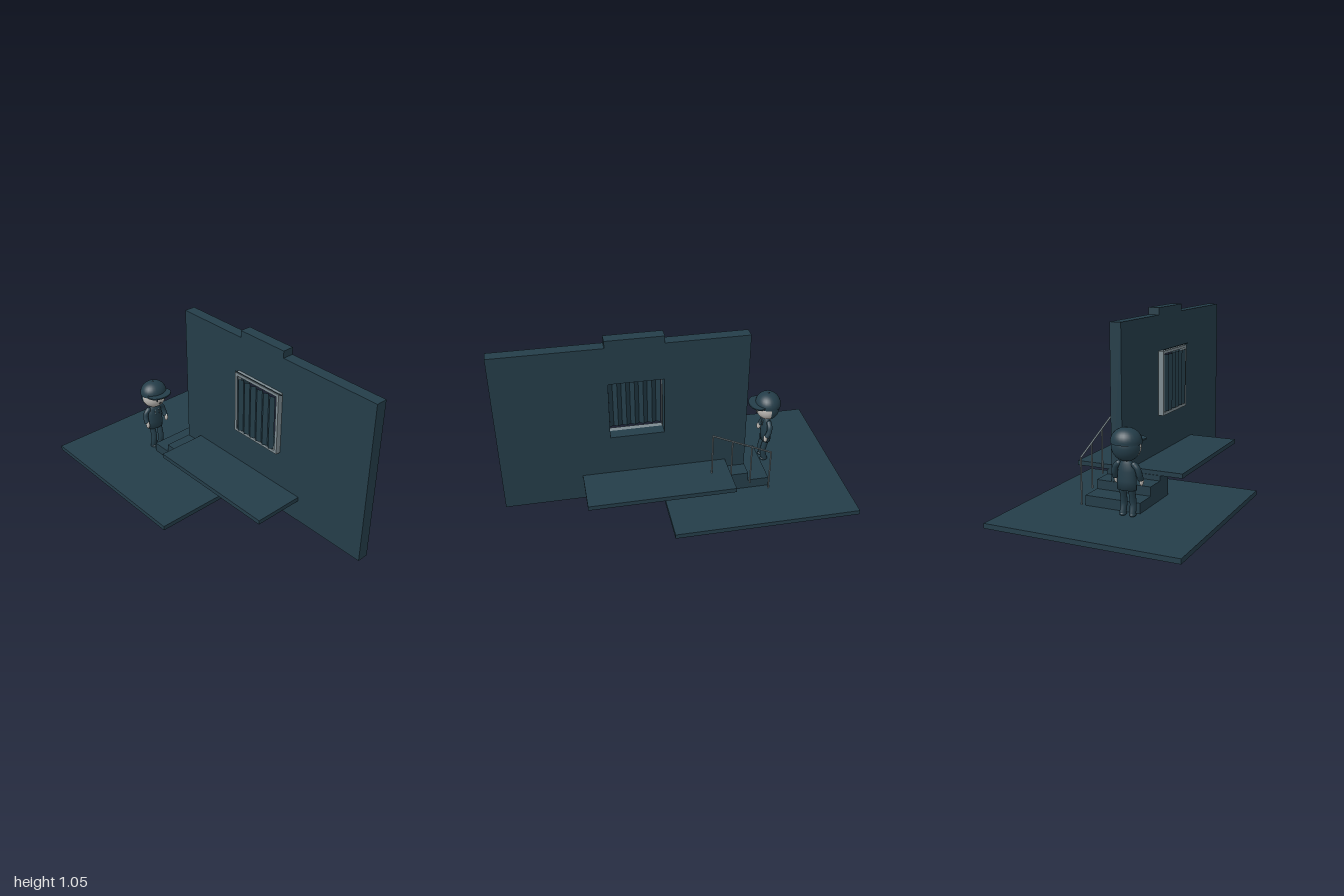
import * as THREE from 'three';

const mat = (name, color, side = THREE.FrontSide) => {
  const m = new THREE.MeshStandardMaterial({ color, side });
  m.name = name;
  return m;
};

export function createModel() {
  const root = new THREE.Group();
  const slate = mat('slate', 0x243d49);
  const slateCloth = mat('slate cloth', 0x243d49, THREE.DoubleSide);
  const metal = mat('grey metal', 0x7c8a90);
  const skin = mat('pale grey', 0xbdbab5);
  const ink = mat('ink', 0x14232b);

  const add = (parent, name, geo, material, x = 0, y = 0, z = 0) => {
    const m = new THREE.Mesh(geo, material);
    m.name = name;
    m.position.set(x, y, z);
    parent.add(m);
    return m;
  };
  // box given by its limits
  const block = (parent, name, material, x0, x1, y0, y1, z0, z1) =>
    add(parent, name, new THREE.BoxGeometry(x1 - x0, y1 - y0, z1 - z0), material,
      (x0 + x1) / 2, (y0 + y1) / 2, (z0 + z1) / 2);
  const outline = (pts) => new THREE.Shape(pts.map(([x, y]) => new THREE.Vector2(x, y)));
  const rect = (x0, x1, y0, y1) => [[x0, y0], [x1, y0], [x1, y1], [x0, y1]];
  const slab = (parent, name, shape, material, z0, z1) =>
    add(parent, name, new THREE.ExtrudeGeometry(shape, { depth: z1 - z0, bevelEnabled: false }), material, 0, 0, z0);
  const ball = (parent, name, material, x, y, z, rx, ry, rz) => {
    const m = add(parent, name, new THREE.SphereGeometry(1, 24, 16), material, x, y, z);
    m.scale.set(rx, ry, rz);
    return m;
  };
  const V = (x, y, z) => new THREE.Vector3(x, y, z);
  const rod = (parent, name, material, a, b, r) => {
    const m = add(parent, name, new THREE.CylinderGeometry(r, r, a.distanceTo(b), 10), material);
    m.position.copy(a).add(b).multiplyScalar(0.5);
    m.quaternion.setFromUnitVectors(V(0, 1, 0), b.clone().sub(a).normalize());
    return m;
  };

  // ground and raised deck
  block(root, 'ground', slate, -1, 0.083, 0, 0.027, -0.545, 0.54);
  block(root, 'deck', slate, -0.296, 0.545, 0.165, 0.191, -0.41, 0.243);

  // three steps leading up to the deck
  slab(root, 'steps', outline([[-0.545, 0.027], [-0.19, 0.027], [-0.19, 0.166], [-0.3, 0.166], [-0.3, 0.136],
    [-0.418, 0.136], [-0.418, 0.084], [-0.545, 0.084]]), slate, -0.218, 0.11);

  // wall with a raised top piece, a lower notch and a window opening
  const wall = outline([[-0.415, 0.028], [0.07, 0.028], [0.07, 0.17], [0.374, 0.17], [0.374, 0.028], [1, 0.028],
    [1, 1.008], [0.385, 1.008], [0.385, 1.05], [0.06, 1.05], [0.06, 1.008], [-0.415, 1.008]]);
  wall.holes.push(outline(rect(0.065, 0.375, 0.435, 0.785)));
  slab(root, 'wall', wall, slate, -0.128, -0.061);

  // window frame, curtain rod and folded curtain
  const frame = outline(rect(0.05, 0.39, 0.418, 0.8));
  frame.holes.push(outline(rect(0.067, 0.373, 0.435, 0.783)));
  slab(root, 'windowFrame', frame, metal, -0.061, -0.03);
  rod(root, 'curtainRod', slate, V(0.05, 0.808, -0.03), V(0.412, 0.808, -0.03), 0.003);
  const folds = 12;
  const curtain = new THREE.PlaneGeometry(0.295, 0.337, folds, 1).toNonIndexed();
  const p = curtain.attributes.position;
  for (let i = 0; i < p.count; i++) {
    const k = Math.round((p.getX(i) / 0.295 + 0.5) * folds);
    p.setZ(i, k % 2 ? 0.008 : -0.008);
  }
  curtain.computeVertexNormals();
  add(root, 'curtain', curtain, slateCloth, 0.218, 0.609, -0.023);

  // sloping handrail with four posts
  const rail = new THREE.Group();
  rail.name = 'handrail';
  root.add(rail);
  const railY = (x) => 0.29 + (x + 0.54) * 0.46;
  rod(rail, 'railBar', metal, V(-0.542, railY(-0.542), -0.244), V(-0.188, railY(-0.188), -0.244), 0.005);
  [[-0.54, 0.027], [-0.423, 0.084], [-0.306, 0.136], [-0.19, 0.19]].forEach(([x, y]) =>
    rod(rail, 'railPost', metal, V(x, y, -0.244), V(x, railY(x), -0.244), 0.0045));

  // standing figure, built around its own axis and facing +x
  const person = new THREE.Group();
  person.name = 'person';
  person.position.set(-0.603, 0, 0.064);
  root.add(person);

  // head, face and hair
  ball(person, 'head', skin, 0, 0.4, 0, 0.071, 0.075, 0.078);
  const hair = add(person, 'hair',
    new THREE.SphereGeometry(1, 20, 16, -Math.PI / 2, Math.PI), slateCloth, -0.004, 0.402, 0);
  hair.scale.set(0.068, 0.078, 0.08);
  for (const s of [-1, 1]) ball(person, 'eye', ink, 0.0665, 0.405, s * 0.023, 0.004, 0.015, 0.007);
  ball(person, 'mouth', ink, 0.0655, 0.372, 0, 0.004, 0.005, 0.009);

  // cap with band, brim and button
  const cap = add(person, 'cap',
    new THREE.SphereGeometry(1, 24, 10, 0, Math.PI * 2, 0, Math.PI / 2), slateCloth, -0.002, 0.43, 0);
  cap.scale.set(0.075, 0.07, 0.084);
  const band = add(person, 'capBand', new THREE.CylinderGeometry(1, 1, 0.014, 24, 1, true), slateCloth, -0.002, 0.426, 0);
  band.scale.set(0.076, 1, 0.084);
  const brim = add(person, 'capBrim', new THREE.CylinderGeometry(1, 1, 0.008, 24), slate, 0.06, 0.432, 0);
  brim.scale.set(0.056, 1, 0.08);
  ball(person, 'capButton', slate, -0.002, 0.5, 0, 0.006, 0.004, 0.006);

  // sweater body
  const torso = add(person, 'torso', new THREE.LatheGeometry([[0, 0.17], [0.055, 0.172], [0.054, 0.22], [0.05, 0.27],
    [0.042, 0.31], [0.025, 0.326], [0, 0.33]].map(([r, y]) => new THREE.Vector2(r, y)), 24), slate);
  torso.scale.set(0.55, 1, 1);

  for (const s of [-1, 1]) {
    // drawstring, sleeve, hand, leg and shoe of one side
    rod(person, 'drawstring', metal, V(0.025, 0.31, s * 0.014), V(0.0305, 0.275, s * 0.014), 0.0015);
    const arm = new THREE.CatmullRomCurve3([V(-0.004, 0.308, s * 0.045), V(-0.004, 0.29, s * 0.063),
      V(0, 0.26, s * 0.071), V(0.014, 0.228, s * 0.073)]);
    add(person, 'sleeve', new THREE.TubeGeometry(arm, 14, 0.016, 12), slate);
    ball(person, 'shoulder', slate, -0.004, 0.308, s * 0.045, 0.016, 0.016, 0.016);
    ball(person, 'hand', skin, 0.022, 0.217, s * 0.073, 0.013, 0.024, 0.011);
    const leg = new THREE.CatmullRomCurve3([V(0, 0.18, s * 0.026), V(0.014, 0.12, s * 0.026),
      V(0.017, 0.09, s * 0.027), V(0.006, 0.04, s * 0.028)]);
    add(person, 'leg', new THREE.TubeGeometry(leg, 14, 0.018, 12), slate);
    ball(person, 'shoe', slate, 0.009, 0.037, s * 0.028, 0.024, 0.012, 0.018);
  }
  return root;
}
